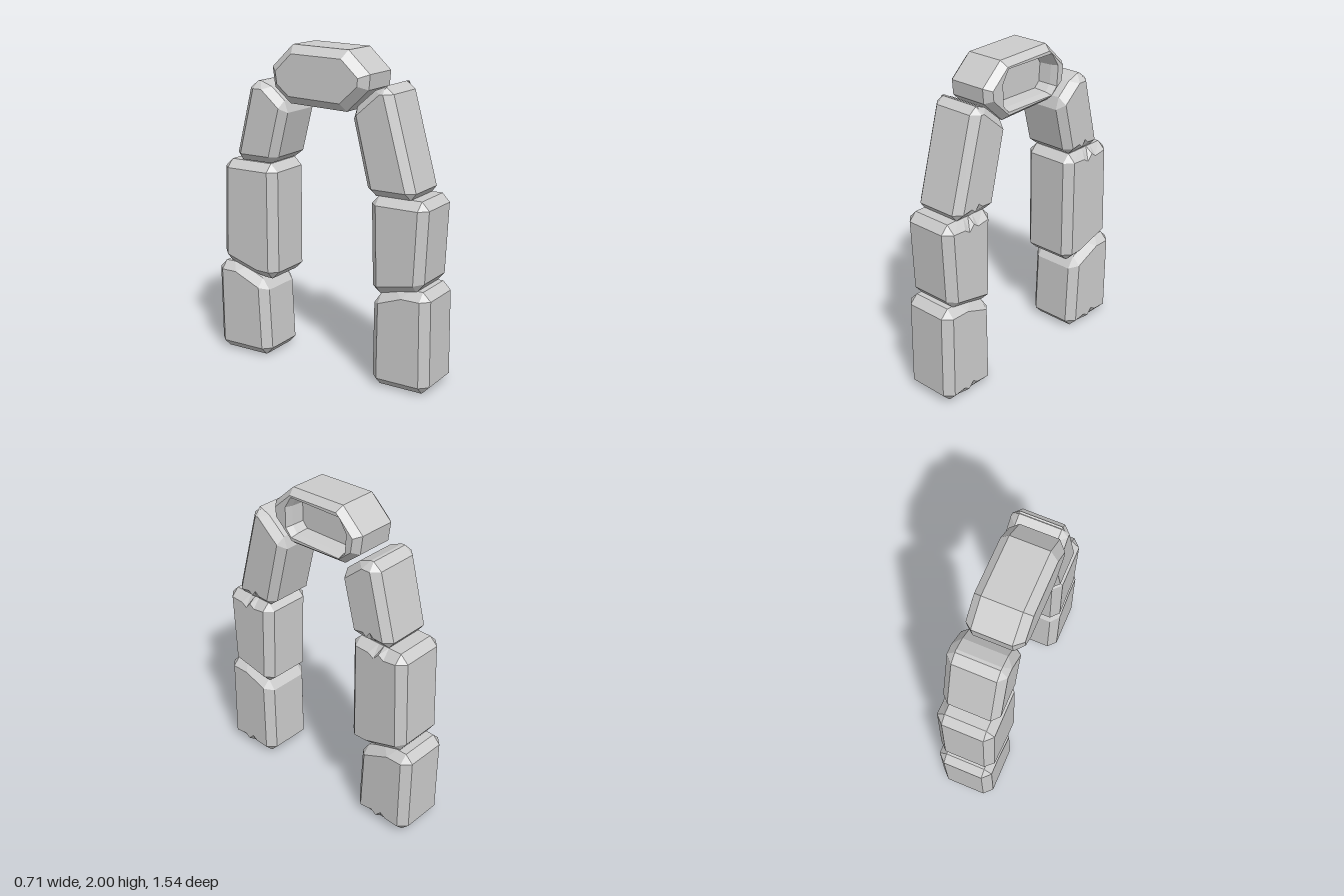
import * as THREE from 'three';

const material = new THREE.MeshStandardMaterial({ color: 0xcccccc, flatShading: true });

// Corner data of a [z, y] outline: the corner, unit directions along its two edges, and the inset corner
function corners(poly, c) {
  const n = poly.length;
  return poly.map((p, i) => {
    const P = new THREE.Vector2(...p);
    const back = new THREE.Vector2(...poly[(i + n - 1) % n]).sub(P).normalize();
    const next = new THREE.Vector2(...poly[(i + 1) % n]).sub(P).normalize();
    const inner = back.clone().add(next).multiplyScalar(c / Math.abs(back.cross(next))).add(P);
    return { P, back, next, inner };
  });
}

// Skins rings of equal point count ({ x, pts }) and caps both ends
function loft(name, rings) {
  const pos = [];
  const tri = (a, b, c) => {
    const area = b.clone().sub(a).cross(c.clone().sub(a)).length();
    if (area > 1e-8) for (const v of [a, b, c]) pos.push(v.x, v.y, v.z);
  };
  const R = rings.map(({ x, pts }) => pts.map((p) => new THREE.Vector3(x, p.y, p.x)));
  for (let k = 0; k + 1 < R.length; k++) {
    const a = R[k], b = R[k + 1], n = a.length;
    for (let i = 0; i < n; i++) {
      const j = (i + 1) % n;
      tri(a[i], a[j], b[j]);
      tri(a[i], b[j], b[i]);
    }
  }
  const cap = (ring, sign) => {
    const pts = ring.filter((v, i) => v.distanceTo(ring[(i + 1) % ring.length]) > 1e-6);
    const flat = pts.map((v) => new THREE.Vector2(-v.z, v.y));
    for (const [i, j, k] of THREE.ShapeUtils.triangulateShape(flat, [])) {
      const turn = flat[j].clone().sub(flat[i]).cross(flat[k].clone().sub(flat[i]));
      if (turn * sign > 0) tri(pts[i], pts[j], pts[k]);
      else tri(pts[i], pts[k], pts[j]);
    }
  };
  cap(R[0], -1);
  cap(R[R.length - 1], 1);
  const g = new THREE.BufferGeometry();
  g.setAttribute('position', new THREE.Float32BufferAttribute(pos, 3));
  g.computeVertexNormals();
  const mesh = new THREE.Mesh(g, material);
  mesh.name = name;
  return mesh;
}

// Bevelled stone; chipped edges get a worn, wavy border on the +x face
const CHIPS = [[0.3, 0.012], [0.42, -0.012], [0.55, 0.028], [0.68, 0.004]];
function stone(name, poly, half, chipped, c = 0.05) {
  const cs = corners(poly, c);
  const outline = [], plain = [], worn = [];
  cs.forEach((k, i) => {
    const m = cs[(i + 1) % cs.length];
    const start = k.P.clone().addScaledVector(k.next, c);
    const end = m.P.clone().addScaledVector(m.back, c);
    outline.push(k.P.clone().addScaledVector(k.back, c), start);
    plain.push(k.inner, k.inner);
    worn.push(k.inner, k.inner);
    if (!chipped.includes(i)) return;
    const inward = new THREE.Vector2(k.next.y, -k.next.x);
    for (const [t, depth] of CHIPS) {
      const q = k.inner.clone().lerp(m.inner, t);
      outline.push(start.clone().lerp(end, t));
      plain.push(q);
      worn.push(q.clone().addScaledVector(inward, depth));
    }
  });
  return loft(name, [
    { x: -half, pts: plain },
    { x: -half + c, pts: outline },
    { x: half - c, pts: outline },
    { x: half, pts: worn },
  ]);
}

export function createModel() {
  const arch = new THREE.Group();
  arch.name = 'stoneArch';

  // Front leg, from the ground up
  arch.add(stone('frontLowerStone',
    [[0.762, 0], [0.378, 0], [0.385, 0.56], [0.58, 0.63], [0.757, 0.63]], 0.178, [0]));
  arch.add(stone('frontMiddleStone',
    [[0.712, 0.63], [0.375, 0.565], [0.36, 1.165], [0.737, 1.165]], 0.178, [2]));
  arch.add(stone('frontUpperStone',
    [[0.66, 1.16], [0.343, 1.16], [0.225, 1.64], [0.41, 1.8], [0.483, 1.8]], 0.172, [0], 0.045));

  // Back leg, from the ground up
  arch.add(stone('backLowerStone',
    [[-0.36, 0], [-0.757, 0], [-0.765, 0.585], [-0.6, 0.585], [-0.385, 0.49]], 0.178, [0]));
  arch.add(stone('backMiddleStone',
    [[-0.305, 0.52], [-0.45, 0.525], [-0.717, 0.61], [-0.697, 1.26], [-0.305, 1.26]], 0.18, [3]));
  arch.add(stone('backUpperStone',
    [[-0.305, 1.265], [-0.607, 1.265], [-0.48, 1.765], [-0.37, 1.765], [-0.212, 1.63]], 0.178, [0], 0.045));

  // Keystone with a recess in its +x face
  const key = [[0.2, 1.635], [-0.19, 1.65], [-0.3, 1.74], [-0.317, 1.86],
    [-0.17, 2], [0.21, 1.99], [0.353, 1.86], [0.345, 1.77]];
  const recess = [[0.19, 1.69], [-0.18, 1.69], [-0.225, 1.735], [-0.235, 1.86],
    [-0.18, 1.945], [0.19, 1.945], [0.235, 1.87], [0.235, 1.74]];
  const outer = (d) => corners(key, d).map((k) => k.inner);
  const hole = (d) => corners(recess, d).map((k) => k.inner);
  arch.add(loft('keystone', [
    { x: -0.2, pts: outer(0.05) },
    { x: -0.148, pts: outer(0) },
    { x: 0.09, pts: outer(0) },
    { x: 0.135, pts: outer(0.035) },
    { x: 0.135, pts: hole(0) },
    { x: 0.09, pts: hole(0.012) },
    { x: 0.01, pts: hole(0.018) },
  ]));

  // The arch stands turned a little about its vertical axis
  arch.rotation.y = THREE.MathUtils.degToRad(15);
  const model = new THREE.Group();
  model.name = 'archModel';
  model.add(arch);
  return model;
}
